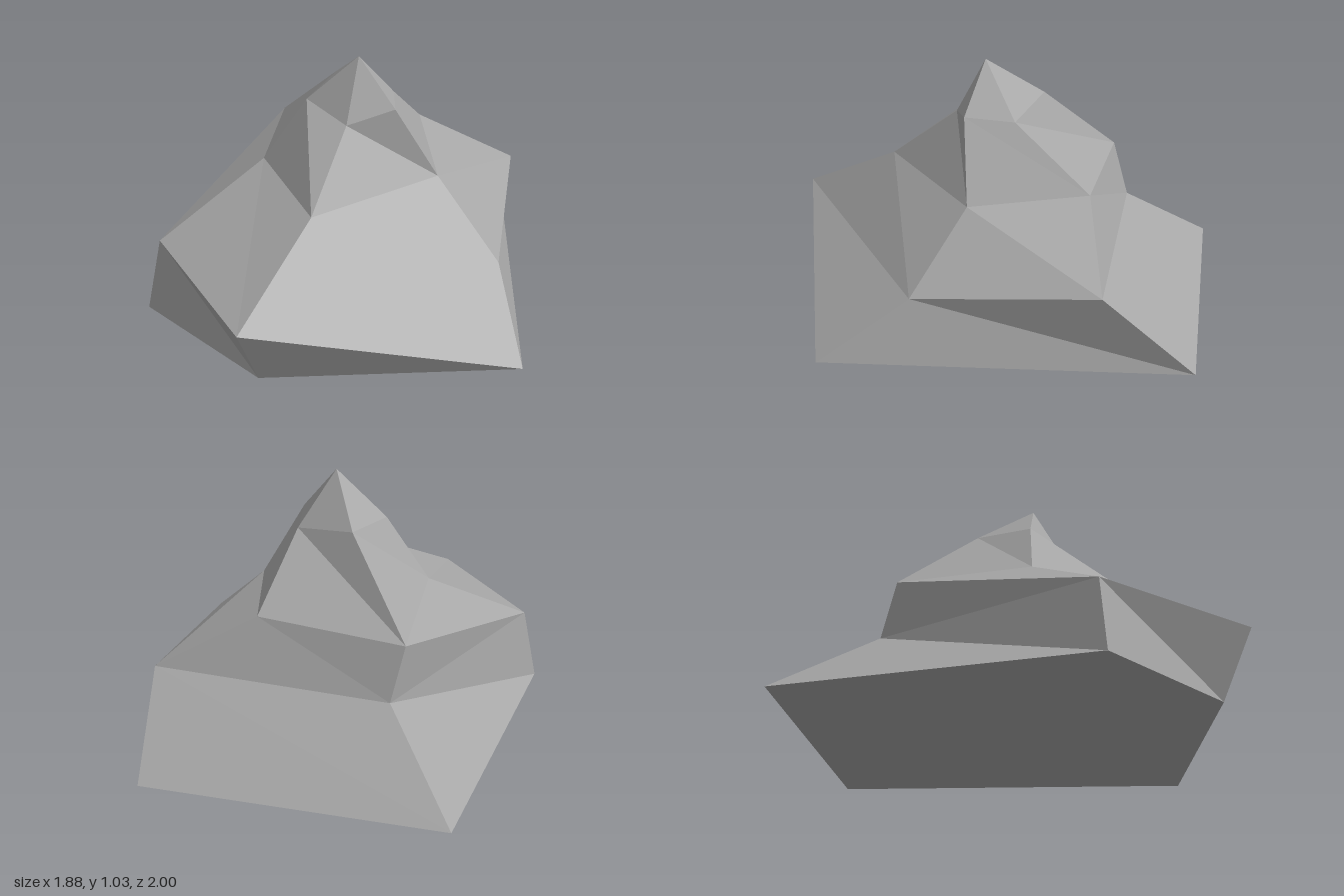
import * as THREE from 'three';

// Five-sided cross-sections of the rock, from the ground up
const rings = [
  [[-0.94, 0, -0.47], [0.18, 0, -1], [0.94, 0, 0.27], [0.11, 0, 0.87], [-0.55, 0, 0.74]],
  [[-0.51, 0.31, -0.29], [0.38, 0.33, -0.69], [0.68, 0.25, 0], [0.12, 0.28, 1], [-0.505, 0.315, 0.69]],
  [[-0.52, 0.53, -0.21], [0.05, 0.56, -0.43], [0.36, 0.53, -0.05], [0.12, 0.54, 0.51], [-0.28, 0.57, 0.27]],
  [[-0.15, 0.86, -0.08], [0.11, 0.82, -0.11], [0.22, 0.84, 0.06], [0.08, 0.79, 0.2], [-0.13, 0.84, 0.17]],
];
const peak = [0.055, 1.035, 0.07];

function rockGeometry() {
  const points = [];
  const tri = (a, b, c) => points.push(...a, ...b, ...c);
  const n = rings[0].length;
  const base = rings[0];
  const top = rings[rings.length - 1];
  for (let i = 0; i < n; i++) {
    const j = (i + 1) % n;
    // Sloping sides, each quad split along the same diagonal
    for (let k = 0; k < rings.length - 1; k++) {
      const lo = rings[k], hi = rings[k + 1];
      tri(lo[j], lo[i], hi[j]);
      tri(lo[i], hi[i], hi[j]);
    }
    // Pointed summit
    tri(top[j], top[i], peak);
    // Flat underside
    if (i > 0 && i < n - 1) tri(base[0], base[i], base[j]);
  }
  const geometry = new THREE.BufferGeometry();
  geometry.setAttribute('position', new THREE.Float32BufferAttribute(points, 3));
  geometry.computeVertexNormals(); // unshared corners give flat facets
  return geometry;
}

export function createModel() {
  const group = new THREE.Group();
  group.name = 'rockModel';
  const stone = new THREE.MeshStandardMaterial({ color: 0xa6a6a6 });
  stone.name = 'stoneGrey';
  stone.flatShading = true;
  const rock = new THREE.Mesh(rockGeometry(), stone);
  rock.name = 'rock';
  group.add(rock);
  return group;
}
